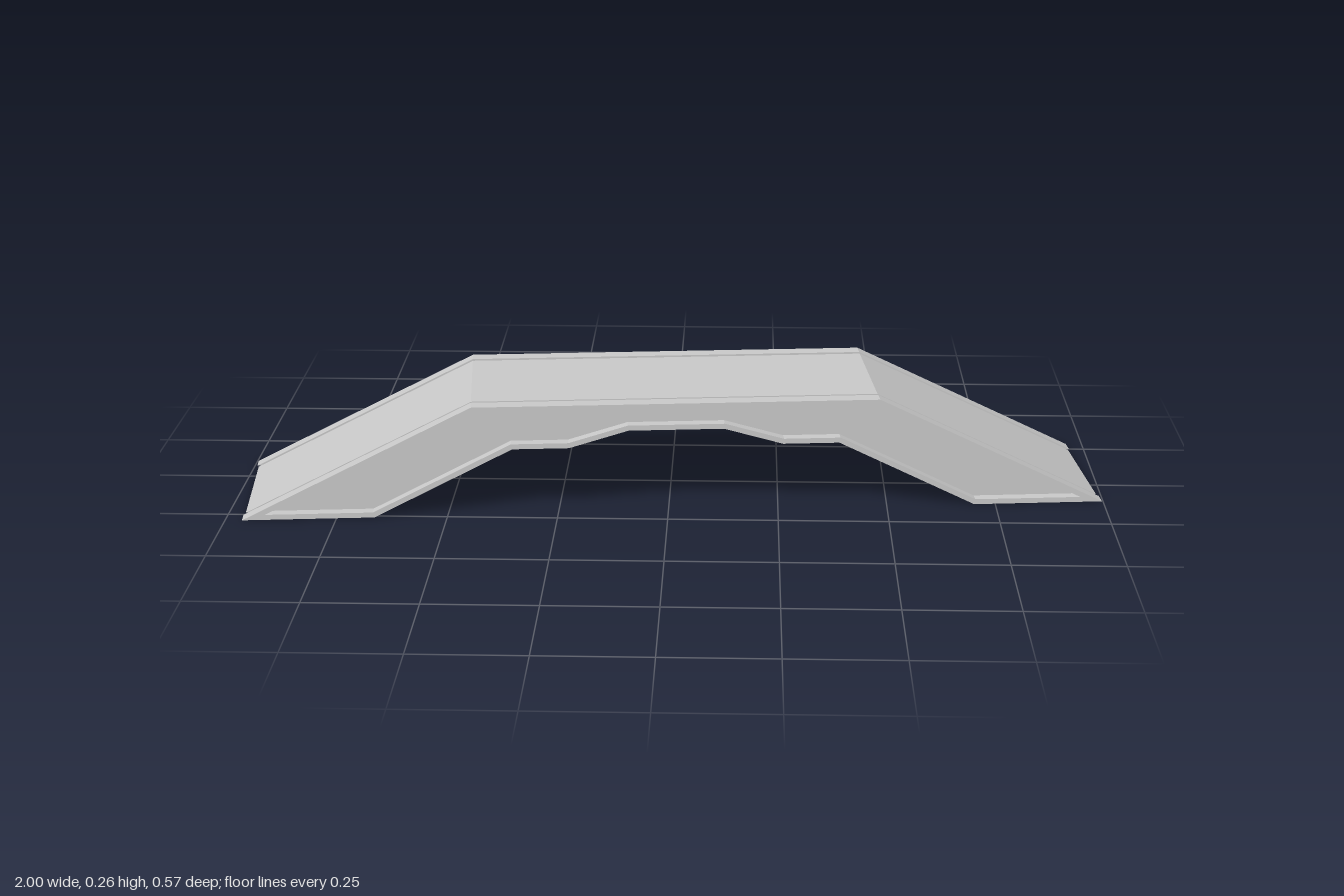
import * as THREE from 'three';

// Right half of the arch outline: underside first, then foot and deck edge
const half = [[0.108, 0.196], [0.243, 0.157], [0.371, 0.157], [0.686, 0], [0.984, 0], [0.462, 0.258]];
const mirrored = half.map(([x, y]) => [-x, y]).reverse();
const outline = [...half, ...mirrored].map(([x, y]) => new THREE.Vector2(x, y));

// Move every edge of the counter-clockwise outline inward by d, with mitred corners
function inset(points, d) {
  const n = points.length;
  return points.map((p, i) => {
    const a = p.clone().sub(points[(i + n - 1) % n]).normalize();
    const b = points[(i + 1) % n].clone().sub(p).normalize();
    const na = new THREE.Vector2(-a.y, a.x);
    const nb = new THREE.Vector2(-b.y, b.x);
    const m = na.clone().add(nb).normalize();
    return p.clone().addScaledVector(m, d / m.dot(na));
  });
}

export function createModel() {
  const model = new THREE.Group();
  const bridge = new THREE.Group();
  bridge.name = 'archBridge';
  model.add(bridge);
  const material = new THREE.MeshStandardMaterial({ color: 0xcccccc, flatShading: true });

  function layer(name, points, z0, z1, hole) {
    const shape = new THREE.Shape(points);
    if (hole) shape.holes.push(new THREE.Path(hole));
    const geometry = new THREE.ExtrudeGeometry(shape, { depth: z1 - z0, bevelEnabled: false });
    geometry.translate(0, 0, z0);
    const mesh = new THREE.Mesh(geometry, material);
    mesh.name = name;
    bridge.add(mesh);
  }

  // Deck slab, a hair lower than the side beams
  layer('deck', inset(outline, 0.001), -0.1525, 0.1525);

  for (const side of [1, -1]) {
    const name = side > 0 ? 'front' : 'back';
    const span = (a, b) => (side > 0 ? [a, b] : [-b, -a]);
    // Narrow groove between deck and beam
    layer(name + 'Groove', inset(outline, 0.006), ...span(0.1525, 0.1625));
    // Beam web, set back behind the rim
    layer(name + 'Web', outline, ...span(0.1625, 0.1725));
    // Thin rim framing the recessed side panel
    layer(name + 'Rim', outline, ...span(0.1725, 0.1975), inset(outline, 0.012));
  }

  // The bridge stands slightly turned
  bridge.rotation.y = 0.092;
  return model;
}
